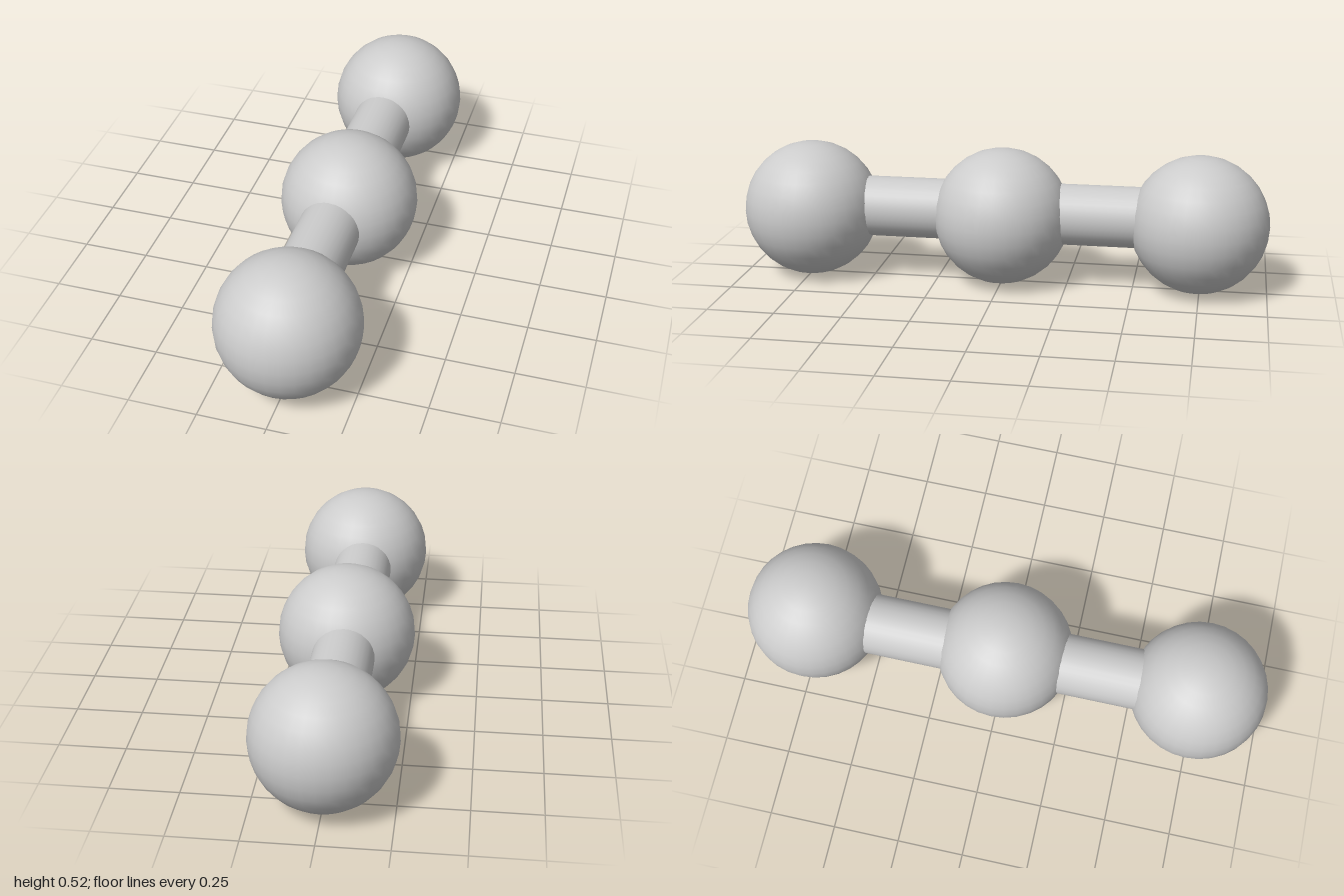
import * as THREE from 'three';

export function createModel() {
  const model = new THREE.Group();
  const material = new THREE.MeshStandardMaterial({ color: 0xcccccc });
  const radius = 0.258;
  const spacing = 1 - radius;

  // Three equal balls in a row from front to back
  const ballGeometry = new THREE.SphereGeometry(radius, 32, 16);
  [['frontBall', 1], ['middleBall', 0], ['backBall', -1]].forEach(([name, step]) => {
    const ball = new THREE.Mesh(ballGeometry, material);
    ball.name = name;
    ball.position.set(0, radius, step * spacing);
    model.add(ball);
  });

  // Two rods joining neighbouring balls, set slightly off their axis
  const rodGeometry = new THREE.CylinderGeometry(0.115, 0.115, spacing, 32).rotateX(Math.PI / 2);
  [['frontRod', 1], ['backRod', -1]].forEach(([name, side]) => {
    const rod = new THREE.Mesh(rodGeometry, material);
    rod.name = name;
    rod.position.set(-0.01, 0.271, side * spacing / 2);
    model.add(rod);
  });

  return model;
}
